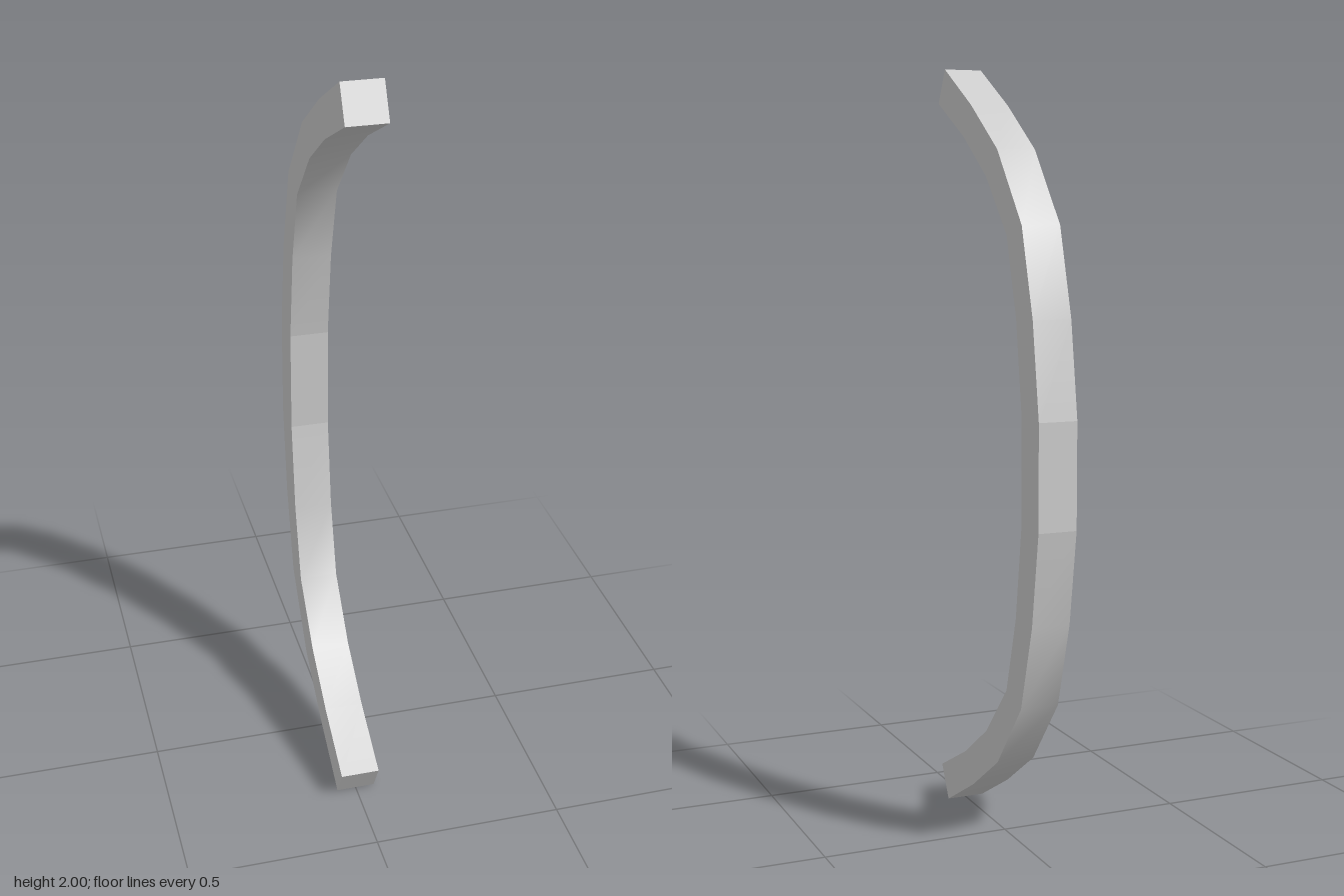
import * as THREE from 'three';

const HALF_WIDTH = 0.051;

// Upper half of the bow: [outer z, outer y, inner z, inner y], tip to middle
const upper = [
  [0.28, 2.0, 0.327, 1.913],
  [0.098, 1.9, 0.15, 1.822],
  [-0.071, 1.786, 0.002, 1.721],
  [-0.222, 1.602, -0.13, 1.577],
  [-0.288, 1.378, -0.189, 1.376],
  [-0.325, 1.135, -0.223, 1.138],
];
const lower = upper.map(([oz, oy, iz, iy]) => [oz, 2 - oy, iz, 2 - iy]).reverse();

// Four corners of the bar at one station
function corners([oz, oy, iz, iy]) {
  return [
    [HALF_WIDTH, oy, oz], [-HALF_WIDTH, oy, oz],
    [-HALF_WIDTH, iy, iz], [HALF_WIDTH, iy, iz],
  ];
}

// Square bar through the stations: smooth along its length, sharp at its edges
function barGeometry(stations, capStart, capEnd) {
  const rings = stations.map(corners);
  const positions = [];
  const index = [];
  for (let side = 0; side < 4; side++) {
    const base = positions.length / 3;
    rings.forEach((ring, i) => {
      positions.push(...ring[side], ...ring[(side + 1) % 4]);
      if (i === rings.length - 1) return;
      const a = base + i * 2;
      index.push(a, a + 2, a + 1, a + 1, a + 2, a + 3);
    });
  }
  const cap = (ring) => {
    const base = positions.length / 3;
    positions.push(...ring.flat());
    index.push(base, base + 1, base + 2, base, base + 2, base + 3);
  };
  if (capStart) cap(rings[0]);
  if (capEnd) cap([...rings[rings.length - 1]].reverse());

  const geometry = new THREE.BufferGeometry();
  geometry.setAttribute('position', new THREE.Float32BufferAttribute(positions, 3));
  geometry.setIndex(index);
  geometry.computeVertexNormals();
  return geometry;
}

export function createModel() {
  const group = new THREE.Group();
  group.name = 'curvedHandle';
  const material = new THREE.MeshStandardMaterial({ color: 0xcccccc });
  const add = (name, geometry) => {
    const mesh = new THREE.Mesh(geometry, material);
    mesh.name = name;
    group.add(mesh);
  };

  // Curved arms joined by a short straight grip
  add('upperArm', barGeometry(upper, true, false));
  add('middleGrip', barGeometry([upper[upper.length - 1], lower[0]], false, false));
  add('lowerArm', barGeometry(lower, false, true));
  return group;
}
